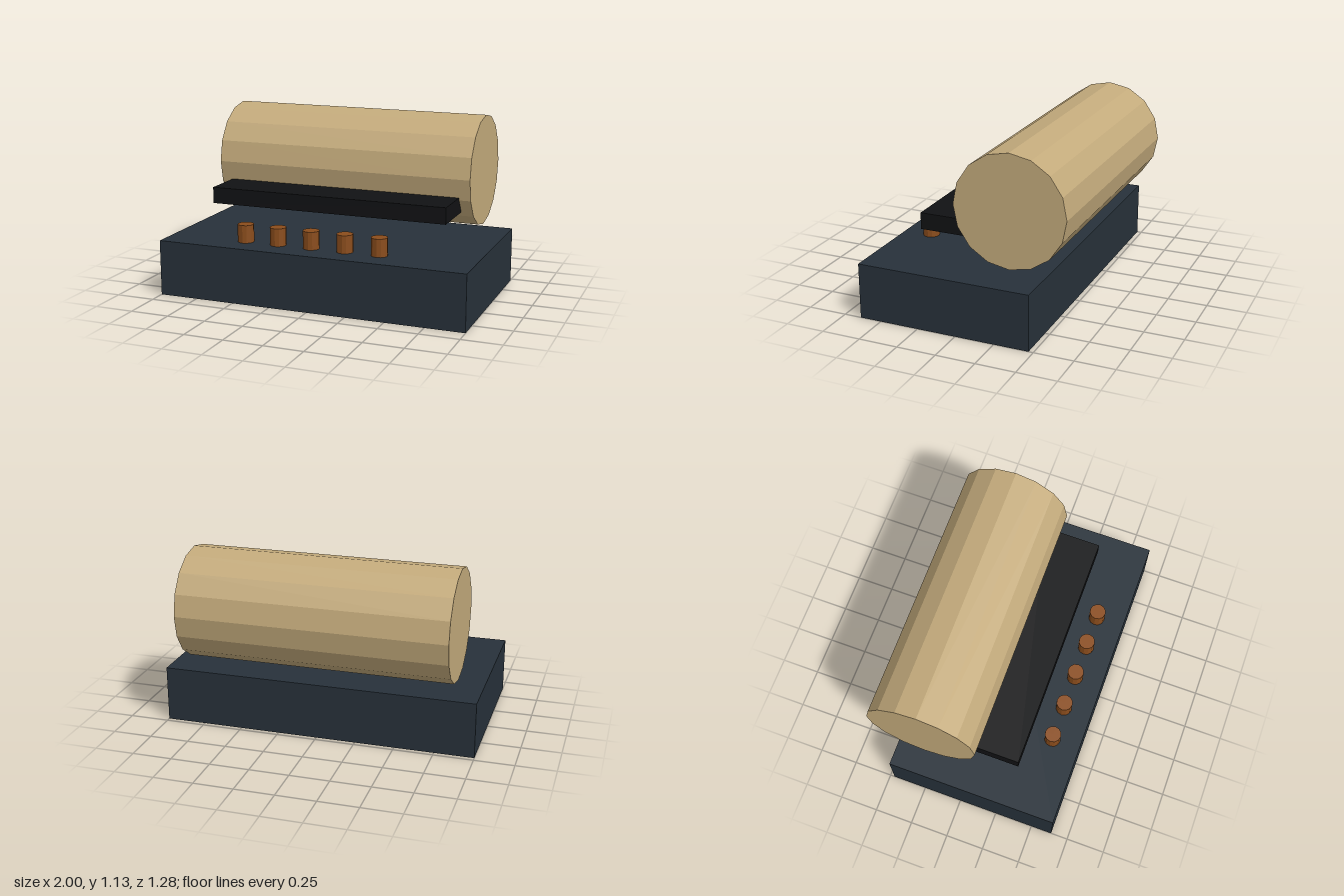
import * as THREE from 'three';

const material = (color) => new THREE.MeshStandardMaterial({ color, flatShading: true });

export function createModel() {
  const model = new THREE.Group();

  const add = (name, geometry, mat, x, y, z) => {
    const mesh = new THREE.Mesh(geometry, mat);
    mesh.name = name;
    mesh.position.set(x, y, z);
    model.add(mesh);
    return mesh;
  };

  // Slab base
  add('base', new THREE.BoxGeometry(2, 0.355, 1.109), material(0x27313a), 0, 0.1775, 0.084);

  // Faceted drum lying along x
  const drum = new THREE.CylinderGeometry(0.3545, 0.3545, 1.704, 16).rotateZ(Math.PI / 2);
  add('drum', drum, material(0xc4ab7c), 0, 0.7725, -0.284);

  // Bar projecting forward from the drum
  add('frontBar', new THREE.BoxGeometry(1.556, 0.104, 0.37), material(0x111214), 0, 0.601, 0.14);

  // Row of pegs along the front of the base
  const pegGeometry = new THREE.CylinderGeometry(0.052, 0.052, 0.115, 12);
  const pegMaterial = material(0x8b4d1c);
  for (let i = 0; i < 5; i++) {
    add(`peg${i + 1}`, pegGeometry, pegMaterial, -0.485 + i * 0.2225, 0.411, 0.455);
  }

  return model;
}
